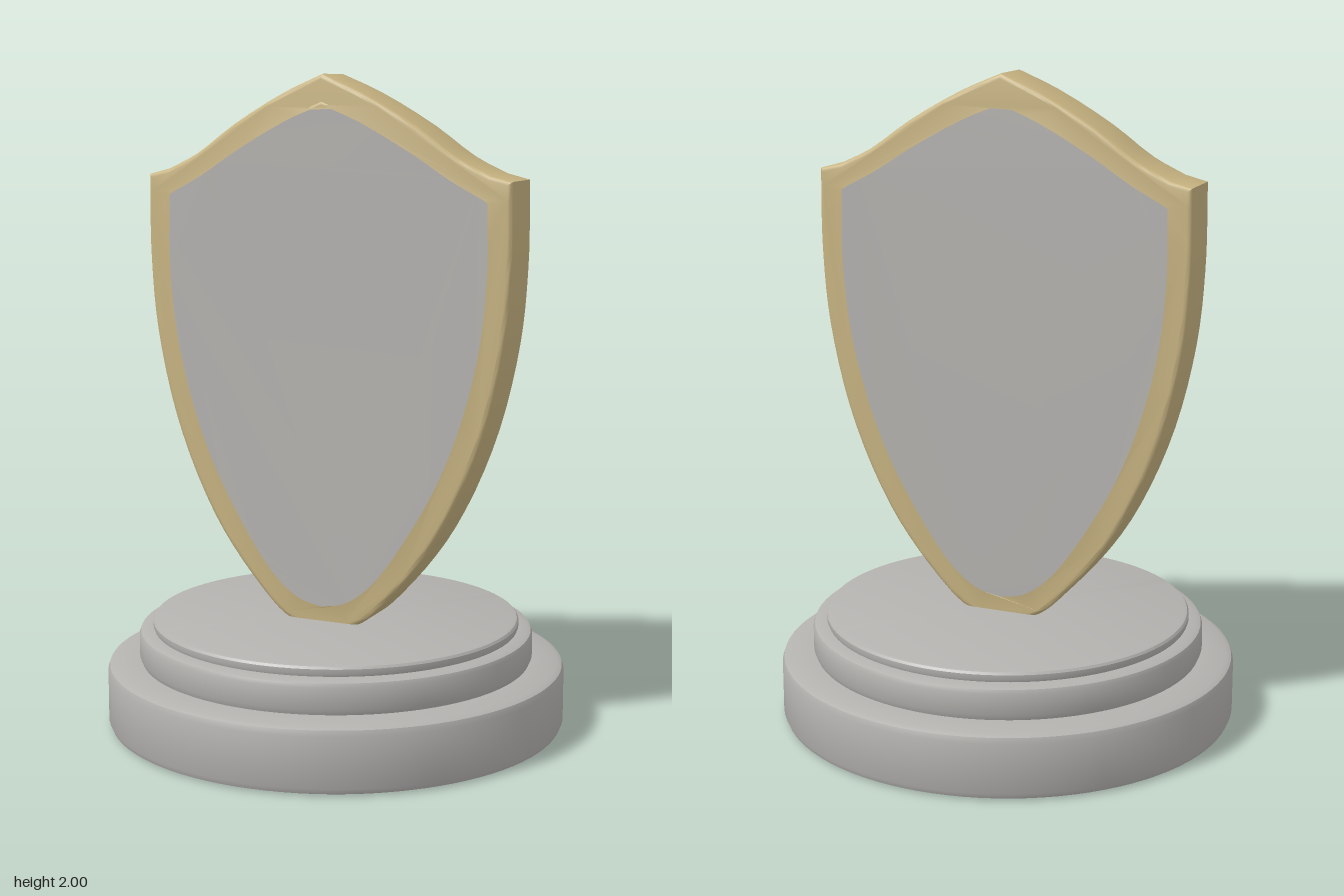
import * as THREE from 'three';
import { toCreasedNormals } from 'three/addons/utils/BufferGeometryUtils.js';

const gold = new THREE.MeshStandardMaterial({ name: 'pale gold', color: 0xc8b482 });
const stone = new THREE.MeshStandardMaterial({ name: 'warm grey', color: 0xb4b2af });

// Mirrored shield outline: straight-ish brow from the peak to the shoulder, curved flank to the tip
function shieldPoints(brow, flank) {
  const curve = (pts) => new THREE.CatmullRomCurve3(pts.map(([x, y]) => new THREE.Vector3(x, y, 0)));
  const right = [
    ...curve(brow).getPoints(12),
    ...curve(flank).getPoints(32),
  ].map((p) => new THREE.Vector2(p.x, p.y));
  const left = right.slice(1, -1).reverse().map((p) => new THREE.Vector2(-p.x, p.y));
  return [...right, ...left];
}

const outer = shieldPoints(
  [[0, 2], [0.13, 1.945], [0.3, 1.85], [0.43, 1.76], [0.53, 1.712]],
  [[0.598, 1.695], [0.598, 1.45], [0.575, 1.2], [0.5, 0.9], [0.37, 0.62], [0.22, 0.425], [0.12, 0.335], [0, 0.3]]);
const inner = shieldPoints(
  [[0, 1.925], [0.13, 1.872], [0.3, 1.78], [0.42, 1.705], [0.515, 1.655]],
  [[0.538, 1.64], [0.54, 1.42], [0.51, 1.16], [0.42, 0.86], [0.3, 0.63], [0.17, 0.45], [0.08, 0.385], [0, 0.367]]);

// Extrude a shape to a full depth centred on z = 0, with an inset rounded edge
function slab(shape, depth, bevel) {
  const g = new THREE.ExtrudeGeometry(shape, {
    depth: depth - 2 * bevel, bevelEnabled: bevel > 0, bevelThickness: bevel,
    bevelSize: bevel, bevelOffset: -bevel, bevelSegments: 3,
  });
  g.translate(0, 0, -depth / 2 + bevel);
  // The right-hand half of the shield leans gently backwards
  const p = g.attributes.position;
  for (let i = 0; i < p.count; i++) {
    p.setZ(i, p.getZ(i) + 0.022 + 0.034 * Math.min(0, p.getX(i)));
  }
  return toCreasedNormals(g, 0.6);
}

function add(parent, name, geometry, material) {
  const mesh = new THREE.Mesh(geometry, material);
  mesh.name = name;
  parent.add(mesh);
}

export function createModel() {
  const model = new THREE.Group();
  model.name = 'shieldTrophy';

  // Stepped round pedestal with softened edges
  const profile = [
    [0, 0], [0.69, 0], [0.705, 0.006], [0.712, 0.022],
    [0.712, 0.175], [0.706, 0.192], [0.69, 0.2], [0.606, 0.203],
    [0.613, 0.22], [0.613, 0.285], [0.608, 0.297], [0.595, 0.302], [0.567, 0.304],
    [0.57, 0.312], [0.57, 0.326], [0.565, 0.333], [0.555, 0.336], [0, 0.336],
  ].map(([x, y]) => new THREE.Vector2(x, y));
  add(model, 'pedestal', toCreasedNormals(new THREE.LatheGeometry(profile, 96), 0.6), stone);

  const shield = new THREE.Group();
  shield.name = 'shield';
  model.add(shield);

  // Rim with a shield-shaped opening
  const rimShape = new THREE.Shape(outer);
  rimShape.holes.push(new THREE.Path(inner));
  add(shield, 'shieldRim', slab(rimShape, 0.172, 0.014), gold);

  // Recessed panel, slightly oversize so that its edge sits inside the rim
  const panelShape = new THREE.Shape(inner.map((p) => new THREE.Vector2(p.x * 1.02, 1.15 + (p.y - 1.15) * 1.015)));
  add(shield, 'shieldPanel', slab(panelShape, 0.135, 0), stone);

  return model;
}
